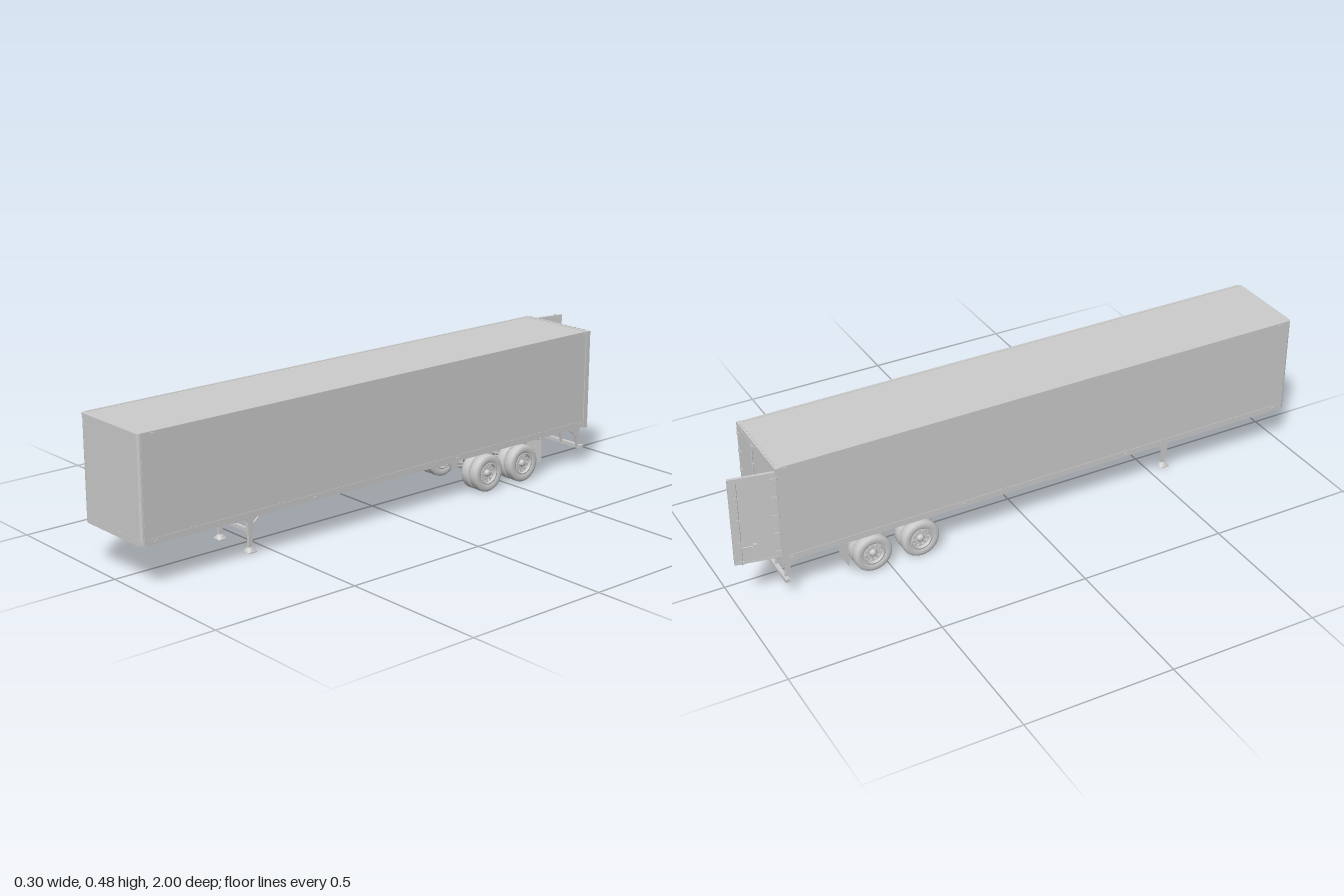
import * as THREE from 'three';

const grey = new THREE.MeshStandardMaterial({ color: 0xcccccc });
const thin = new THREE.MeshStandardMaterial({ color: 0xcccccc, side: THREE.DoubleSide });
const V = (x, y, z) => new THREE.Vector3(x, y, z);

function add(parent, name, geometry, x = 0, y = 0, z = 0, material = grey) {
  const mesh = new THREE.Mesh(geometry, material);
  mesh.name = name;
  mesh.position.set(x, y, z);
  parent.add(mesh);
  return mesh;
}

// Box given by its limits on each axis
function box(parent, name, [x0, x1], [y0, y1], [z0, z1]) {
  return add(parent, name, new THREE.BoxGeometry(x1 - x0, y1 - y0, z1 - z0),
    (x0 + x1) / 2, (y0 + y1) / 2, (z0 + z1) / 2);
}

// Round rod or square bar between two points
function rod(parent, name, a, b, r, sides = 8) {
  const mesh = add(parent, name, new THREE.CylinderGeometry(r, r, a.distanceTo(b), sides));
  mesh.position.copy(a).lerp(b, 0.5);
  mesh.quaternion.setFromUnitVectors(V(0, 1, 0), b.clone().sub(a).normalize());
  return mesh;
}

// Plate drawn in the (z, y) plane, with its thickness along x
function sidePlate(parent, name, points, x, t) {
  const shape = new THREE.Shape(points.map(([z, y]) => new THREE.Vector2(-z, y)));
  const g = new THREE.ExtrudeGeometry(shape, { depth: t, bevelEnabled: false });
  g.translate(0, 0, -t / 2).rotateY(Math.PI / 2);
  return add(parent, name, g, x);
}

// Plan outline of the box with rounded front corners
function plan(w, rear, front, r) {
  const s = new THREE.Shape();
  s.moveTo(-w, rear).lineTo(w, rear).lineTo(w, front - r);
  s.quadraticCurveTo(w, front, w - r, front);
  s.lineTo(r - w, front).quadraticCurveTo(-w, front, -w, front - r);
  return s.closePath();
}
function slab(parent, name, shape, y0, y1) {
  const g = new THREE.ExtrudeGeometry(shape, { depth: y1 - y0, bevelEnabled: false, curveSegments: 5 });
  g.rotateX(Math.PI / 2);
  return add(parent, name, g, 0, y1);
}

function cargoBox(root) {
  const body = new THREE.Group();
  body.name = 'cargoBox';
  root.add(body);
  const W = 0.147, R = -0.85;
  const walls = new THREE.Shape();
  walls.moveTo(-W, R).lineTo(-0.141, R).lineTo(-0.141, 0.992).lineTo(0.141, 0.992).lineTo(0.141, R).lineTo(W, R);
  walls.lineTo(W, 0.988).quadraticCurveTo(W, 0.998, W - 0.01, 0.998);
  walls.lineTo(0.01 - W, 0.998).quadraticCurveTo(-W, 0.998, -W, 0.988).closePath();
  slab(body, 'walls', walls, 0.142, 0.477);
  slab(body, 'roof', plan(0.148, R, 0.999, 0.011), 0.472, 0.479);
  slab(body, 'floor', plan(0.141, R, 0.992, 0.005), 0.157, 0.163);
  // Rails, posts and marker lamps along both sides
  for (const s of [-1, 1]) {
    const span = (a, b) => [Math.min(s * a, s * b), Math.max(s * a, s * b)];
    box(body, 'bottomRail', span(0.138, 0.1485), [0.139, 0.16], [R, 0.985]);
    box(body, 'topRail', span(0.14, 0.1485), [0.466, 0.48], [R, 0.985]);
    box(body, 'frontPost', span(0.14, 0.148), [0.142, 0.477], [0.97, 0.987]);
    box(body, 'rearPost', span(0.137, 0.151), [0.135, 0.48], [-0.861, -0.843]);
    for (const z of [0.95, 0.36, -0.24, -0.83]) {
      for (const y of [0.15, 0.473]) {
        if (y > 0.2 && Math.abs(z) < 0.5) continue;
        box(body, 'markerLamp', span(0.147, 0.1515), [y - 0.003, y + 0.003], [z - 0.006, z + 0.006]);
      }
    }
    // Tail lamps
    for (const x of [0.09, 0.107, 0.124]) {
      const lamp = add(body, 'tailLamp', new THREE.CylinderGeometry(0.006, 0.006, 0.005, 14), s * x, 0.149, -0.863);
      lamp.rotation.x = Math.PI / 2;
    }
  }
  box(body, 'frontSill', [-0.14, 0.14], [0.139, 0.158], [0.985, 0.9985]);
  box(body, 'rearSill', [-0.15, 0.15], [0.134, 0.164], [-0.862, -0.845]);
  box(body, 'rearHeader', [-0.15, 0.15], [0.467, 0.48], [-0.861, -0.843]);
  for (let i = -6; i <= 6; i++) {
    box(body, 'headerRivet', [i * 0.021 - 0.003, i * 0.021 + 0.003], [0.479, 0.482], [-0.857, -0.851]);
  }
}

// Rear door, hinged on its outer edge, extending along +x when closed
function door(root, side, angle) {
  const g = new THREE.Group();
  g.name = side < 0 ? 'rightRearDoor' : 'leftRearDoor';
  g.position.set(side * 0.146, 0, -0.858);
  g.scale.x = -side;
  g.rotation.y = -side * angle;
  root.add(g);
  box(g, 'doorPanel', [0.002, 0.1445], [0.164, 0.468], [-0.003, 0.003]);
  for (const y of [0.166, 0.466]) box(g, 'doorSeal', [0.002, 0.1445], [y - 0.003, y + 0.003], [-0.004, 0.005]);
  for (const x of [0.005, 0.142]) box(g, 'doorSeal', [x - 0.003, x + 0.003], [0.164, 0.468], [-0.004, 0.005]);
  for (const y of [0.185, 0.25, 0.315, 0.38, 0.445]) {
    box(g, 'hingeStrap', [0, 0.02], [y - 0.004, y + 0.004], [-0.006, -0.003]);
    rod(g, 'hingePin', V(0, y - 0.006, -0.004), V(0, y + 0.006, -0.004), 0.0025);
  }
  rod(g, 'lockRod', V(0.122, 0.163, -0.007), V(0.122, 0.471, -0.007), 0.0025);
  for (const y of [0.17, 0.24, 0.32, 0.4, 0.462]) {
    box(g, 'rodGuide', [0.116, 0.128], [y - 0.004, y + 0.004], [-0.009, -0.003]);
  }
  rod(g, 'lockHandle', V(0.122, 0.225, -0.009), V(0.08, 0.225, -0.009), 0.002);
  box(g, 'handleCatch', [0.074, 0.086], [0.219, 0.231], [-0.01, -0.003]);
}

function underframe(root) {
  const g = new THREE.Group();
  g.name = 'underframe';
  root.add(g);
  for (let i = 0; i < 14; i++) {
    const z = -0.8 + i * 0.134;
    box(g, 'crossMember', [-0.14, 0.14], [0.145, 0.158], [z - 0.003, z + 0.003]);
    box(g, 'crossMemberFlange', [-0.14, 0.14], [0.142, 0.145], [z - 0.007, z + 0.007]);
  }
  for (const x of [-0.05, 0.05]) {
    box(g, 'longBeam', [x - 0.005, x + 0.005], [0.141, 0.158], [-0.84, 0.985]);
  }
  const pin = add(g, 'kingpin', new THREE.CylinderGeometry(0.006, 0.008, 0.012, 14), 0, 0.14, 0.85);
  pin.name = 'kingpin';
}

function landingGear(root) {
  const g = new THREE.Group();
  g.name = 'landingGear';
  root.add(g);
  for (const s of [-1, 1]) {
    const x = s * 0.076;
    sidePlate(g, 'legBracket', [[0.6, 0.145], [0.53, 0.145], [0.53, 0.135], [0.55, 0.1], [0.55, 0.075],
      [0.57, 0.075], [0.572, 0.1], [0.598, 0.135]], x + s * 0.007, 0.003);
    box(g, 'outerLeg', [x - 0.007, x + 0.007], [0.06, 0.155], [0.55, 0.57]);
    box(g, 'innerLeg', [x - 0.005, x + 0.005], [0.01, 0.065], [0.553, 0.567]);
    const foot = add(g, 'foot', new THREE.CylinderGeometry(0.009, 0.022, 0.014, 4, 1), x, 0.009, 0.56);
    foot.geometry.rotateY(Math.PI / 4);
    box(g, 'footPad', [x - 0.016, x + 0.016], [0, 0.003], [0.546, 0.574]);
    rod(g, 'diagonalBrace', V(s * 0.068, 0.118, 0.56), V(0, 0.073, 0.56), 0.003);
    rod(g, 'rearBrace', V(x, 0.085, 0.55), V(x, 0.145, 0.48), 0.003);
  }
  box(g, 'crossBrace', [-0.07, 0.07], [0.062, 0.074], [0.555, 0.565]);
  rod(g, 'crankShaft', V(-0.08, 0.128, 0.56), V(0.12, 0.128, 0.56), 0.003);
}

// Wheel with its outer face toward +x
function wheel(parent, x, z, side, outer) {
  const g = new THREE.Group();
  g.name = 'wheel';
  g.position.set(x, 0.064, z);
  if (side < 0) g.rotation.y = Math.PI;
  if (!outer) g.rotation.y += Math.PI;
  parent.add(g);
  const lathe = (pts) => new THREE.LatheGeometry(pts.map(([r, h]) => new THREE.Vector2(r, h)), 36).rotateZ(-Math.PI / 2);
  add(g, 'tyre', lathe([[0.036, -0.014], [0.042, -0.0175], [0.052, -0.0185], [0.0605, -0.016], [0.0633, -0.012], [0.064, 0],
    [0.0633, 0.012], [0.0605, 0.016], [0.052, 0.0185], [0.042, 0.0175], [0.036, 0.014]]), 0, 0, 0, thin);
  add(g, 'rim', lathe([[0.033, -0.016], [0.038, -0.016], [0.037, -0.013], [0.033, -0.01], [0.033, 0.01], [0.037, 0.013],
    [0.038, 0.016], [0.034, 0.016]]), 0, 0, 0, thin);
  // Dished disc with hand holes
  const disc = new THREE.Shape().absarc(0, 0, 0.034, 0, Math.PI * 2);
  for (let i = 0; i < 10; i++) {
    const a = i * Math.PI / 5;
    disc.holes.push(new THREE.Path().absarc(Math.cos(a) * 0.027, Math.sin(a) * 0.027, 0.004, 0, Math.PI * 2, true));
    const nut = add(g, 'wheelNut', new THREE.CylinderGeometry(0.0018, 0.0018, 0.005, 6).rotateZ(Math.PI / 2),
      0.007, Math.cos(a + 0.3) * 0.018, Math.sin(a + 0.3) * 0.018);
    nut.name = 'wheelNut';
  }
  const dg = new THREE.ExtrudeGeometry(disc, { depth: 0.003, bevelEnabled: false, curveSegments: 16 }).rotateY(Math.PI / 2);
  add(g, 'wheelDisc', dg, 0.002);
  add(g, 'hub', lathe([[0.0125, 0], [0.0125, 0.009], [0.009, 0.012], [0.008, 0.016], [0, 0.016]]));
}

function bogie(root) {
  const g = new THREE.Group();
  g.name = 'bogie';
  root.add(g);
  const axles = [-0.39, -0.555];
  for (const z of axles) {
    rod(g, 'axle', V(-0.13, 0.064, z), V(0.13, 0.064, z), 0.008, 16);
    for (const s of [-1, 1]) {
      wheel(g, s * 0.131, z, s, true);
      wheel(g, s * 0.0925, z, s, false);
      const drum = add(g, 'brakeDrum', new THREE.CylinderGeometry(0.028, 0.028, 0.022, 24), s * 0.082, 0.064, z);
      drum.rotation.z = Math.PI / 2;
      rod(g, 'brakeChamber', V(s * 0.03, 0.085, z + 0.02), V(s * 0.03, 0.085, z + 0.045), 0.011, 14);
      // Leaf spring
      const curve = new THREE.QuadraticBezierCurve3(V(s * 0.052, 0.098, z - 0.068), V(s * 0.052, 0.062, z), V(s * 0.052, 0.098, z + 0.068));
      add(g, 'leafSpring', new THREE.TubeGeometry(curve, 14, 0.005, 6));
      box(g, 'springSeat', [s * 0.052 - 0.008, s * 0.052 + 0.008], [0.054, 0.09], [z - 0.012, z + 0.012]);
    }
  }
  for (const s of [-1, 1]) {
    box(g, 'sliderRail', [s * 0.052 - 0.007, s * 0.052 + 0.007], [0.12, 0.146], [-0.69, -0.29]);
    for (const z of [-0.315, -0.472, -0.63]) {
      sidePlate(g, 'springHanger', [[z - 0.025, 0.125], [z - 0.012, 0.075], [z + 0.012, 0.075], [z + 0.025, 0.125]], s * 0.052, 0.016);
    }
    for (const z of axles) rod(g, 'torqueArm', V(s * 0.052, 0.066, z), V(s * 0.052, 0.085, z + 0.08), 0.003);
    // Mud flap and its hanger
    box(g, 'mudFlap', [s * 0.11 - 0.036, s * 0.11 + 0.036], [0.048, 0.134], [-0.642, -0.64]);
    rod(g, 'flapHanger', V(s * 0.05, 0.133, -0.638), V(s * 0.146, 0.133, -0.638), 0.003);
  }
  for (const z of [-0.3, -0.472, -0.63]) box(g, 'bogieCrossMember', [-0.05, 0.05], [0.118, 0.138], [z - 0.006, z + 0.006]);
  rod(g, 'airTank', V(-0.038, 0.105, -0.68), V(0.038, 0.105, -0.68), 0.018, 20);
}

function rearGuard(root) {
  const g = new THREE.Group();
  g.name = 'rearGuard';
  root.add(g);
  box(g, 'guardBar', [-0.145, 0.145], [0.058, 0.07], [-0.852, -0.838]);
  for (const x of [-0.125, -0.05, 0.05, 0.125]) {
    sidePlate(g, 'guardPost', [[-0.77, 0.142], [-0.79, 0.13], [-0.825, 0.11], [-0.838, 0.062], [-0.848, 0.062],
      [-0.842, 0.11], [-0.855, 0.142]], x, 0.007);
  }
}

export function createModel() {
  const root = new THREE.Group();
  root.name = 'boxTrailer';
  cargoBox(root);
  door(root, 1, 0);
  door(root, -1, 1.385);
  underframe(root);
  landingGear(root);
  bogie(root);
  rearGuard(root);
  return root;
}
